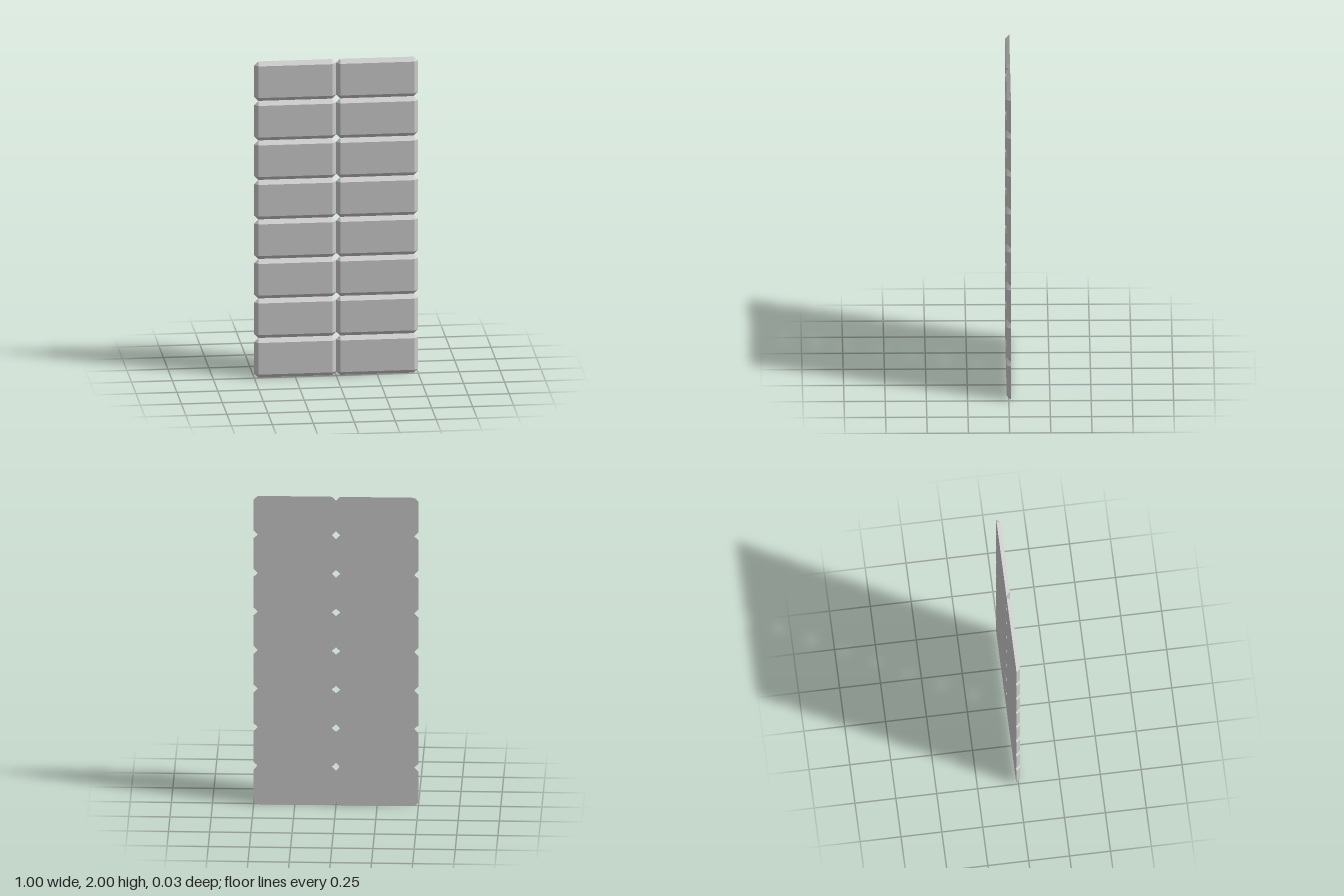
import * as THREE from 'three';
import { ConvexGeometry } from 'three/addons/geometries/ConvexGeometry.js';

const COLUMNS = 2, ROWS = 8;
const W = 0.5, H = 0.25, DEPTH = 0.025, BEVEL = 0.025;

// One tile: a flat back with clipped corners, bevelled in to a smaller front face
function tileGeometry() {
  const points = [];
  const back = -DEPTH / 2, front = DEPTH / 2;
  for (const sx of [-1, 1]) {
    for (const sy of [-1, 1]) {
      const innerX = sx * (W / 2 - BEVEL), innerY = sy * (H / 2 - BEVEL);
      points.push(
        new THREE.Vector3(innerX, innerY, front),
        new THREE.Vector3(sx * W / 2, innerY, back),
        new THREE.Vector3(innerX, sy * H / 2, back)
      );
    }
  }
  return new ConvexGeometry(points);
}

export function createModel() {
  const model = new THREE.Group();
  model.name = 'tilePanel';
  const material = new THREE.MeshStandardMaterial({ color: 0xcccccc, flatShading: true });
  const geometry = tileGeometry();

  // Grid of tiles, edge to edge
  for (let row = 0; row < ROWS; row++) {
    for (let col = 0; col < COLUMNS; col++) {
      const tile = new THREE.Mesh(geometry, material);
      tile.name = `tileRow${row + 1}Column${col + 1}`;
      tile.position.set((col - (COLUMNS - 1) / 2) * W, (row + 0.5) * H, 0);
      model.add(tile);
    }
  }
  return model;
}
